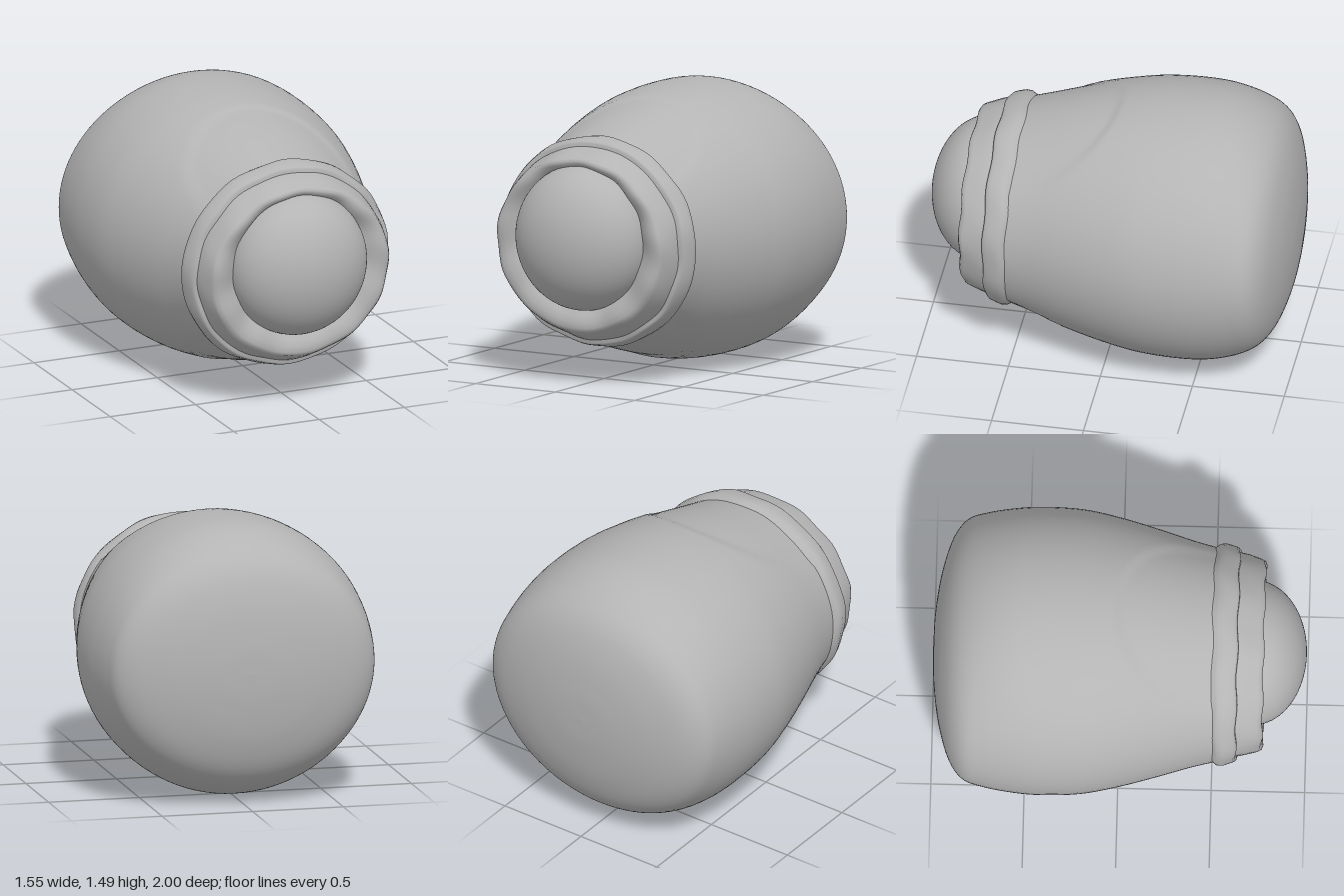
import * as THREE from 'three';

const SIDES = 96;

// Loft of elliptical rings [z, half width, half height, centre y], back to front.
function loft(rings, adjust = (p) => p) {
  const pos = [], index = [];
  rings.forEach(([z, w, h, cy]) => {
    for (let j = 0; j < SIDES; j++) {
      const a = (j / SIDES) * Math.PI * 2;
      const p = adjust({ x: Math.cos(a) * w, y: Math.sin(a) * h, z }, a);
      pos.push(p.x, p.y + cy, p.z);
    }
  });
  for (let i = 0; i < rings.length - 1; i++) {
    for (let j = 0; j < SIDES; j++) {
      const k = (j + 1) % SIDES;
      const a = i * SIDES + j, b = i * SIDES + k, c = a + SIDES, d = b + SIDES;
      index.push(a, b, c, b, d, c);
    }
  }
  const g = new THREE.BufferGeometry();
  g.setAttribute('position', new THREE.Float32BufferAttribute(pos, 3));
  g.setIndex(index);
  g.computeVertexNormals();
  return g;
}

export function createModel() {
  const group = new THREE.Group();
  const grey = new THREE.MeshStandardMaterial({ color: 0xb4b4b4 });
  grey.name = 'grey';
  const add = (name, geometry) => {
    const mesh = new THREE.Mesh(geometry, grey);
    mesh.name = name;
    group.add(mesh);
    return mesh;
  };

  // Body: rounded back, widest behind the middle, tapering to the collar
  const profile = [
    [-1, 0, 0], [-0.992, 0.2, 0.17], [-0.955, 0.44, 0.39], [-0.89, 0.63, 0.55],
    [-0.82, 0.71, 0.628], [-0.72, 0.74, 0.69], [-0.58, 0.762, 0.735], [-0.43, 0.774, 0.747],
    [-0.2, 0.764, 0.737], [0, 0.722, 0.706], [0.2, 0.665, 0.66], [0.4, 0.604, 0.6],
    [0.56, 0.565, 0.55],
  ].map((p) => new THREE.Vector3(...p));
  const rings = new THREE.CatmullRomCurve3(profile).getPoints(120)
    .map((p) => [p.z === undefined ? 0 : p.x, Math.max(p.y, 0), Math.max(p.z, 0), 0.75]);
  // Shallow arched panels sunk into the top and bottom near the collar
  const sink = (p) => {
    const r = Math.hypot(p.x / 0.46, Math.min(p.z - 0.36, 0) / 0.39);
    const s = 1 - 0.017 * (1 - THREE.MathUtils.smoothstep(r, 0.9, 1.02));
    return { x: p.x * s, y: p.y * s, z: p.z };
  };
  add('body', loft(rings, sink));

  // Collar: uneven flange, stepped sleeve and a lip that turns inward
  const wobble = (amount) => (p, a) => {
    const n = Math.sin(a * 7 + p.z * 9) * 0.5 + Math.sin(a * 13 + 1 - p.z * 25) * 0.5;
    const s = 1 + amount * n;
    return { x: p.x * s, y: p.y * s, z: p.z + amount * 0.7 * Math.sin(a * 11) };
  };
  add('collarFlange', loft([
    [0.48, 0.555, 0.545, 0.757], [0.515, 0.583, 0.56, 0.757], [0.53, 0.596, 0.567, 0.757],
    [0.56, 0.598, 0.568, 0.757], [0.6, 0.584, 0.558, 0.757], [0.622, 0.576, 0.55, 0.757],
    [0.632, 0.565, 0.54, 0.757], [0.634, 0.52, 0.5, 0.757],
  ], wobble(0.007)));
  add('collarSleeve', loft([
    [0.6, 0.55, 0.525, 0.757], [0.64, 0.548, 0.522, 0.758], [0.69, 0.538, 0.503, 0.76],
    [0.745, 0.522, 0.478, 0.762], [0.765, 0.51, 0.468, 0.764], [0.773, 0.488, 0.452, 0.767],
    [0.77, 0.455, 0.428, 0.775], [0.755, 0.415, 0.405, 0.785], [0.72, 0.37, 0.37, 0.8],
  ], wobble(0.007)));

  // Domed nose
  const dome = new THREE.SphereGeometry(1, 64, 24, 0, Math.PI * 2, 0, Math.PI / 2);
  dome.rotateX(Math.PI / 2);
  dome.scale(0.388, 0.394, 0.285);
  add('dome', dome).position.set(0, 0.8, 0.715);

  return group;
}
